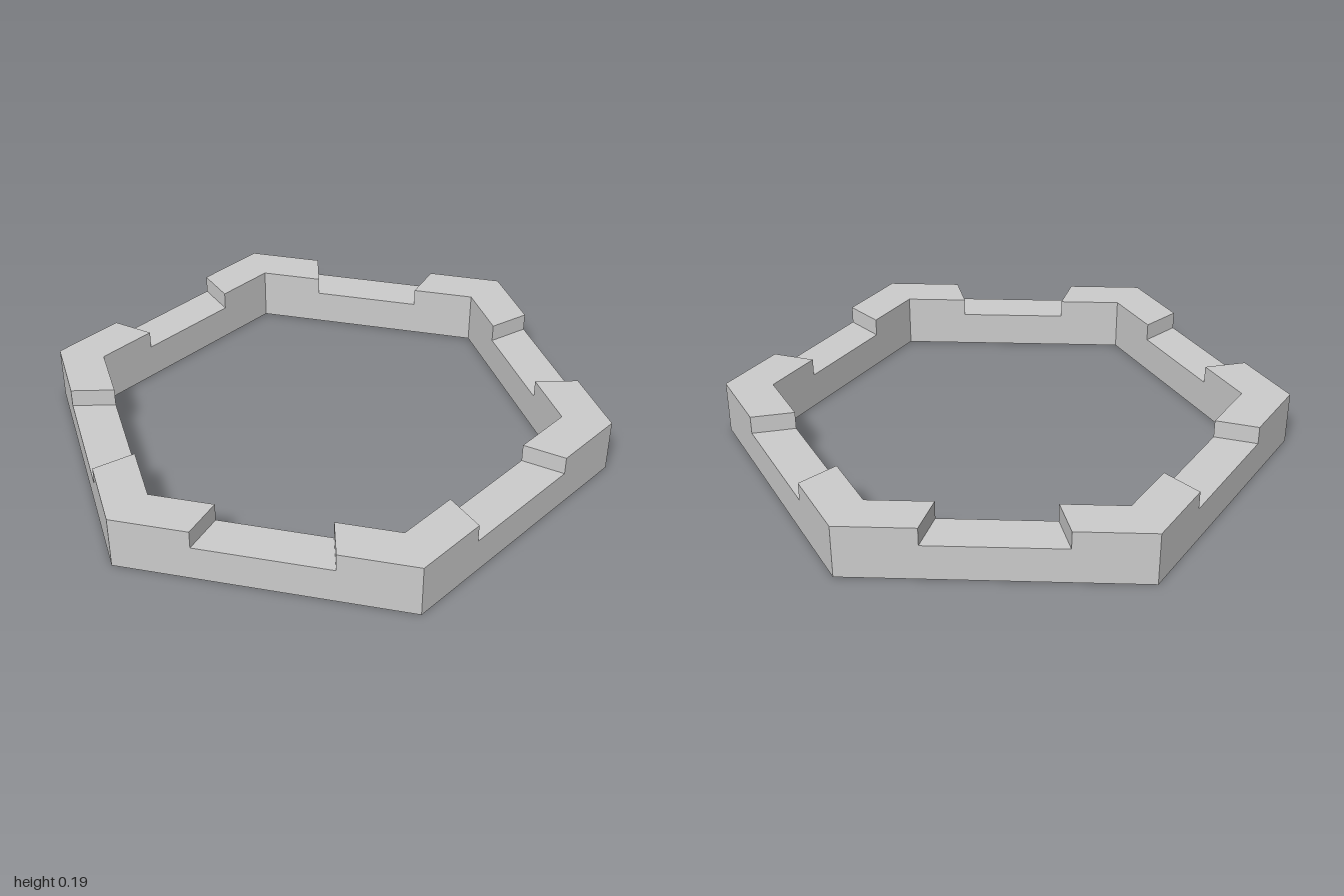
import * as THREE from 'three';

const OUTER = 1.0154, INNER = 0.843; // corner radii of the hexagon
const FLOOR = 0.128, TOP = 0.193;    // notch floor and full height
const TURN = 10;                     // twist of the whole ring in degrees

// Point on a hexagon of the given corner radius, seen from the centre at an angle
function hexPoint(radius, degrees) {
  const fromCorner = ((degrees - TURN) % 60 + 60) % 60;
  const r = radius * Math.cos(Math.PI / 6) / Math.cos(THREE.MathUtils.degToRad(fromCorner - 30));
  const a = THREE.MathUtils.degToRad(degrees);
  return new THREE.Vector2(r * Math.sin(a), r * Math.cos(a));
}

// Upright prism from a plan shape
function prism(shape, bottom, top) {
  const geometry = new THREE.ExtrudeGeometry(shape, { depth: top - bottom, bevelEnabled: false });
  geometry.rotateX(-Math.PI / 2);
  geometry.translate(0, bottom, 0);
  return geometry;
}

export function createModel() {
  const group = new THREE.Group();
  group.name = 'notchedHexagonRing';
  const grey = new THREE.MeshStandardMaterial({ color: 0xcccccc });
  grey.name = 'lightGrey';

  const add = (name, geometry) => {
    const mesh = new THREE.Mesh(geometry, grey);
    mesh.name = name;
    group.add(mesh);
  };

  // Continuous lower ring: outline counter-clockwise, hole clockwise, so all walls face out
  const corners = [0, 1, 2, 3, 4, 5].map((i) => TURN + i * 60);
  const ring = new THREE.Shape(corners.map((a) => hexPoint(OUTER, a)).reverse());
  ring.holes.push(new THREE.Path(corners.map((a) => hexPoint(INNER, a))));
  add('baseRing', prism(ring, 0, FLOOR));

  // Raised corners, leaving a notch with radial ends in each side
  corners.forEach((a, i) => {
    const angles = [a - 15, a, a + 15];
    const outline = [
      ...angles.map((d) => hexPoint(OUTER, d)),
      ...angles.reverse().map((d) => hexPoint(INNER, d)),
    ];
    add(`raisedCorner${i + 1}`, prism(new THREE.Shape(outline), FLOOR, TOP));
  });

  return group;
}
